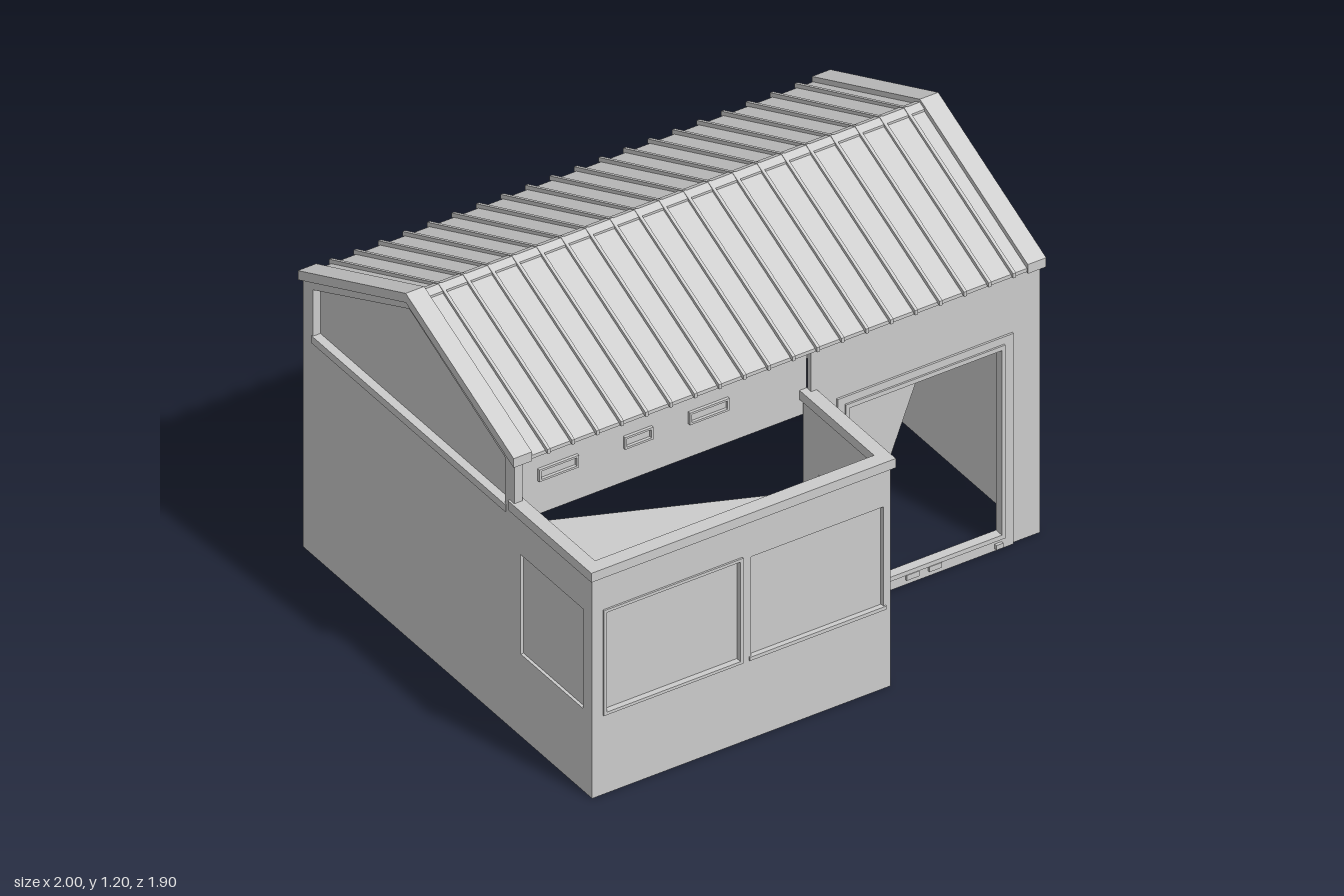
import * as THREE from 'three';

// Plan frame: u along the ridge, v across it; slightly skewed and turned in the world.
const PLAN = new THREE.Matrix4().set(
  0.985, 0, 0.127, 0,
  0, 1, 0, 0,
  -0.171, 0, 0.992, -0.21,
  0, 0, 0, 1);
const material = new THREE.MeshStandardMaterial({ color: 0xcccccc, flatShading: true, side: THREE.DoubleSide });

const rect = (x0, x1, y0, y1) => [[x0, y0], [x1, y0], [x1, y1], [x0, y1]];
const toVec = pts => pts.map(p => new THREE.Vector2(p[0], p[1]));

export function createModel() {
  const model = new THREE.Group();

  const add = (name, geometry) => {
    const mesh = new THREE.Mesh(geometry.applyMatrix4(PLAN), material);
    mesh.name = name;
    model.add(mesh);
  };
  const slab = (outline, holes, depth) => {
    const shape = new THREE.Shape(toVec(outline));
    holes.forEach(h => shape.holes.push(new THREE.Path(toVec(h))));
    return new THREE.ExtrudeGeometry(shape, { depth, bevelEnabled: false });
  };
  // Slab drawn in (u, y), filling v0 to v1
  const lengthwise = (name, outline, holes, v0, v1) =>
    add(name, slab(outline, holes, v1 - v0).translate(0, 0, v0));
  // Slab drawn in (v, y), filling u0 to u1
  const crosswise = (name, outline, holes, u0, u1) =>
    add(name, slab(outline, holes, u1 - u0).rotateY(-Math.PI / 2).translate(u1, 0, 0));
  const box = (name, u0, u1, y0, y1, v0, v1) =>
    add(name, new THREE.BoxGeometry(u1 - u0, y1 - y0, v1 - v0)
      .translate((u0 + u1) / 2, (y0 + y1) / 2, (v0 + v1) / 2));
  const chevron = (half, eave, ridge, t) =>
    [[-half, eave], [-half, eave - t], [0, ridge - t], [half, eave - t], [half, eave], [0, ridge]];

  // Roof sheet, end boards, ridge cap and standing seams
  crosswise('roof', chevron(0.585, 0.94, 1.185, 0.012), [], -0.93, 0.93);
  for (const s of [-1, 1]) {
    const a = s * 0.94, b = s * 0.875;
    crosswise('roofEndBoard', chevron(0.59, 0.956, 1.203, 0.032), [], Math.min(a, b), Math.max(a, b));
  }
  crosswise('ridgeCap', chevron(0.025, 1.182, 1.193, 0.01), [], -0.9, 0.9);
  for (let i = 0; i < 20; i++) {
    const u = -0.82 + i * 0.0865;
    crosswise('roofSeam', chevron(0.597, 0.949, 1.195, 0.016), [], u - 0.005, u + 0.005);
  }

  // Gable walls with a recessed upper panel and a ledge line
  const gable = [[-0.575, 0], [0.575, 0], [0.575, 0.925], [0, 1.17], [-0.575, 0.925]];
  const panel = [[-0.525, 0.76], [0.525, 0.76], [0.525, 0.92], [0, 1.145], [-0.525, 0.92]];
  for (const s of [-1, 1]) {
    const span = (a, b) => [Math.min(s * a, s * b), Math.max(s * a, s * b)];
    crosswise('gableWall', gable, [panel], ...span(0.9, 0.928));
    crosswise('gablePanel', panel, [], ...span(0.895, 0.902));
    crosswise('gableLedge', rect(-0.53, 0.53, 0.735, 0.76), [], ...span(0.92, 0.931));
  }

  // Long walls of the main hall; the hall is open to the annex below its deck
  lengthwise('backWall', rect(-0.928, 0.928, 0, 0.935), [], -0.58, -0.57);
  lengthwise('upperFrontWall', rect(-0.928, 0.12, 0.7, 0.935), [], 0.54, 0.55);
  const door = rect(0.247, 0.785, 0.05, 0.69);
  lengthwise('garageWall', rect(0.12, 0.928, 0, 0.935), [door], 0.555, 0.575);
  lengthwise('garageSurround', rect(0.21, 0.83, 0, 0.73), [door], 0.574, 0.582);
  lengthwise('garageInnerFrame', rect(0.235, 0.797, 0.035, 0.705), [door], 0.58, 0.588);
  lengthwise('garageDoorPanel', [[0.247, 0.05], [0.505, 0.69], [0.247, 0.69]], [], 0.556, 0.562);
  for (const u of [0.47, 0.55]) box('sillPlate', u - 0.022, u + 0.022, 0.018, 0.036, 0.58, 0.59);
  for (const u of [0.26, 0.775]) box('doorFoot', u - 0.012, u + 0.012, 0.008, 0.024, 0.58, 0.592);

  // Small high windows: [centre, width]
  const highWindow = (u, w, y, v0, v1) =>
    lengthwise('highWindow', rect(u - w / 2, u + w / 2, y - 0.021, y + 0.021),
      [rect(u - w / 2 + 0.007, u + w / 2 - 0.007, y - 0.014, y + 0.014)], v0, v1);
  [[-0.76, 0.14], [-0.477, 0.1], [-0.228, 0.14]]
    .forEach(([u, w]) => highWindow(u, w, 0.838, 0.549, 0.56));
  [[0.76, 0.13], [0.51, 0.1], [0.24, 0.09], [-0.04, 0.13], [-0.24, 0.1], [-0.5, 0.14], [-0.76, 0.11]]
    .forEach(([u, w]) => highWindow(u, w, 0.825, -0.59, -0.579));

  // Annex front wall with two recessed windows
  const windows = [rect(-0.88, -0.408, 0.285, 0.63), rect(-0.3675, 0.1, 0.285, 0.63)];
  lengthwise('annexFrontWall', rect(-0.928, 0.125, 0, 0.76), windows, 0.975, 1.0);
  windows.forEach(w => lengthwise('annexWindowPane', w, [], 0.98, 0.986));
  const [w0] = windows;
  lengthwise('annexWindowFrame', rect(-0.89, -0.398, 0.275, 0.64), [w0], 0.999, 1.006);
  box('annexWindowSill', -0.375, 0.108, 0.275, 0.287, 0.99, 1.006);

  // Annex left-hand end wall with its window
  const sideWindow = rect(0.61, 0.95, 0.285, 0.63);
  crosswise('annexEndWall', rect(0.56, 1.0, 0, 0.76), [sideWindow], -0.928, -0.9);
  crosswise('annexEndPane', sideWindow, [], -0.918, -0.912);

  // Annex entrance wall with a half-open door
  const entry = rect(0.647, 0.84, 0.03, 0.545);
  const glass = rect(0.683, 0.813, 0.29, 0.53);
  crosswise('annexDoorWall', rect(0.56, 1.0, 0, 0.76), [entry], 0.1, 0.125);
  crosswise('entranceDoor', entry, [glass], 0.108, 0.118);
  crosswise('entranceDoorFrame', rect(0.637, 0.85, 0.02, 0.555), [entry], 0.124, 0.131);
  crosswise('doorWindowBar', rect(0.73, 0.738, 0.29, 0.53), [], 0.108, 0.118);

  // Parapet cap and the partial deck inside it
  box('frontCap', -0.935, 0.14, 0.755, 0.787, 0.957, 1.007);
  box('endCap', -0.935, -0.89, 0.755, 0.787, 0.55, 0.957);
  box('endCap', 0.095, 0.14, 0.755, 0.787, 0.55, 0.957);
  const deck = new THREE.BufferGeometry();
  deck.setAttribute('position', new THREE.Float32BufferAttribute(
    [-0.91, 0.7, 0.555, -0.91, 0.7, 0.98, 0.11, 0.7, 0.98], 3));
  deck.computeVertexNormals();
  add('annexDeck', deck);

  return model;
}
